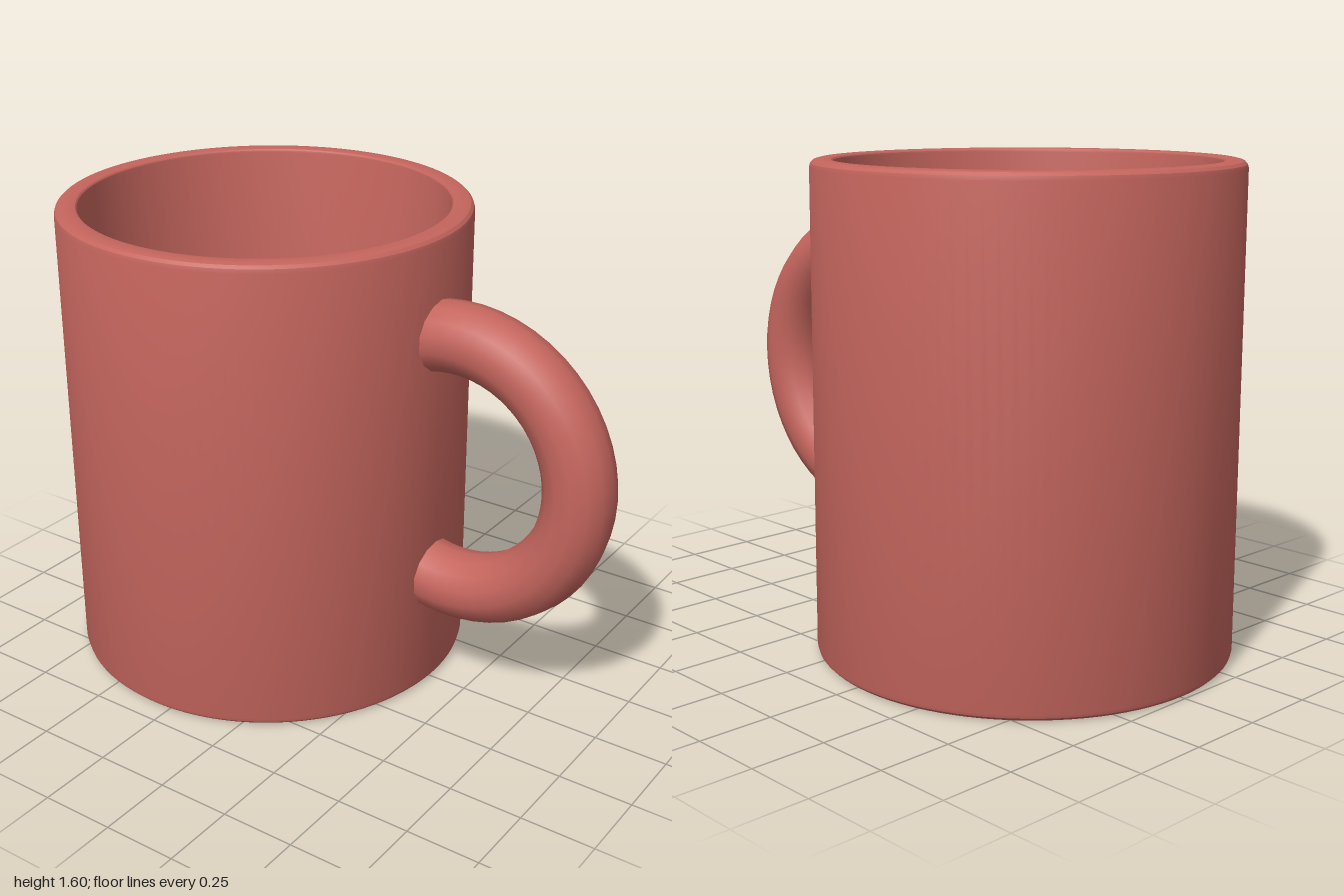
import * as THREE from 'three';
import { toCreasedNormals } from 'three/addons/utils/BufferGeometryUtils.js';

const RADIUS = 0.685, INNER = 0.61, HEIGHT = 1.6, FLOOR = 0.08, CENTRE_X = -0.315;

// Points of a quarter-round edge about (x, y), from one angle to another in degrees
function roundEdge(x, y, r, from, to, steps = 3) {
  return Array.from({ length: steps + 1 }, (_, i) => {
    const a = THREE.MathUtils.degToRad(from + (to - from) * i / steps);
    return new THREE.Vector2(x + r * Math.cos(a), y + r * Math.sin(a));
  });
}

export function createModel() {
  const model = new THREE.Group();
  model.name = 'mug';

  const clay = new THREE.MeshStandardMaterial({ color: 0xc4655d });
  clay.name = 'red clay';

  // Hollow cup: base, outer wall, rounded rim, inner wall and floor
  const outer = 0.025, inner = 0.012;
  const profile = [
    new THREE.Vector2(0, 0),
    ...roundEdge(RADIUS - outer, outer, outer, -90, 0),
    ...roundEdge(RADIUS - outer, HEIGHT - outer, outer, 0, 90),
    ...roundEdge(INNER + inner, HEIGHT - inner, inner, 90, 180),
    new THREE.Vector2(INNER, FLOOR + inner),
    new THREE.Vector2(INNER - inner, FLOOR),
    new THREE.Vector2(0, FLOOR),
  ];
  const cup = new THREE.Mesh(toCreasedNormals(new THREE.LatheGeometry(profile, 96), 0.35), clay);
  cup.name = 'cup';
  cup.position.x = CENTRE_X;
  model.add(cup);

  // Ring handle whose ends sink into the wall
  const overlap = 0.26;
  const ring = new THREE.TorusGeometry(0.436, 0.1165, 14, 32, Math.PI + 2 * overlap);
  ring.rotateZ(-Math.PI / 2 - overlap);
  const handle = new THREE.Mesh(ring, clay);
  handle.name = 'handle';
  handle.position.set(0.4475, 0.843, 0);
  model.add(handle);

  return model;
}
